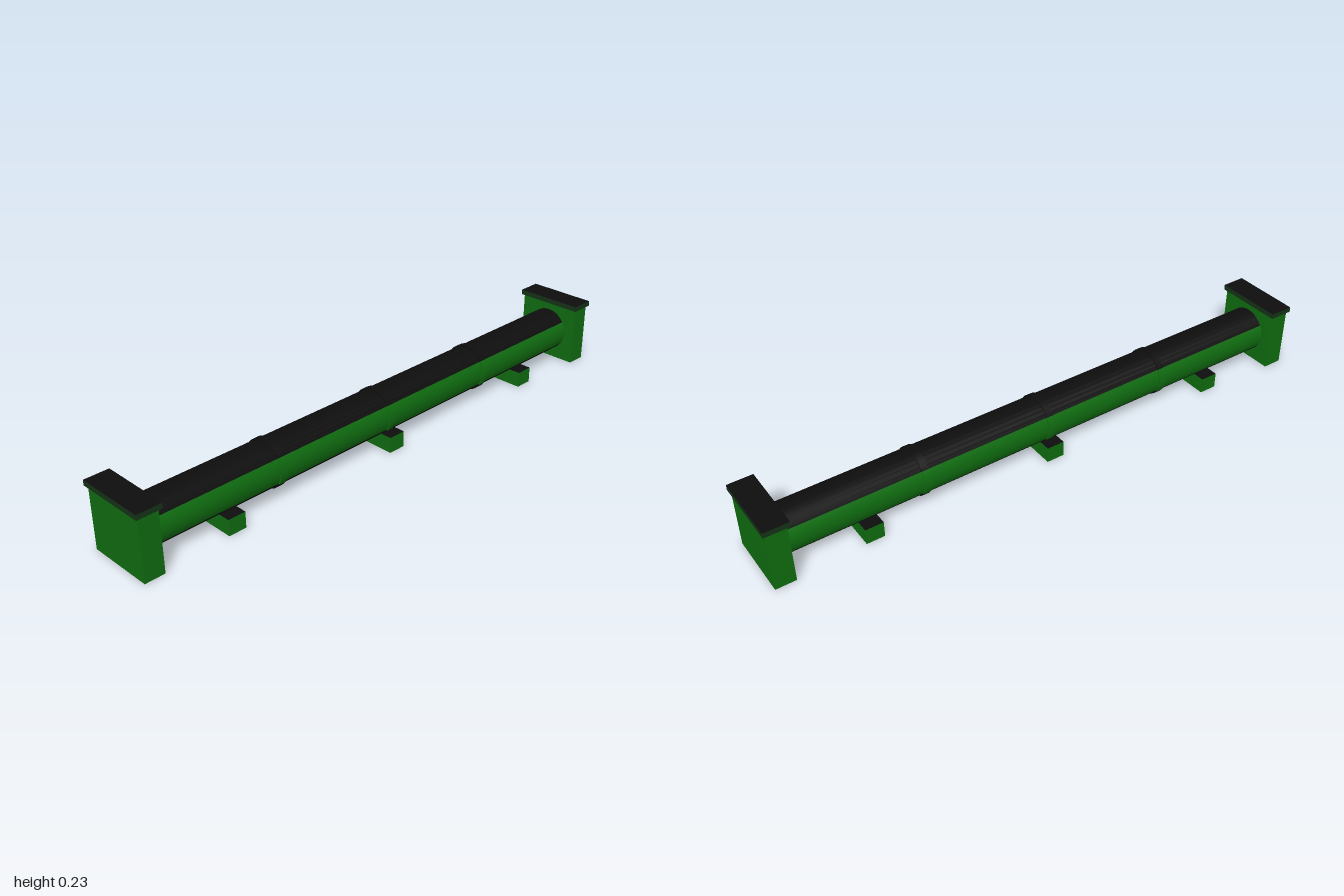
import * as THREE from 'three';

const green = new THREE.MeshStandardMaterial({ color: 0x0f6b10 });
green.name = 'green';
const black = new THREE.MeshStandardMaterial({ color: 0x0d0d0d });
black.name = 'black';
const darkGreen = new THREE.MeshStandardMaterial({ color: 0x143216 });
darkGreen.name = 'dark green';

// Box with coloured walls and black top and bottom
function block(name, w, y0, y1, depth, z, side) {
  const mesh = new THREE.Mesh(
    new THREE.BoxGeometry(w, y1 - y0, depth),
    [side, side, black, black, side, side]
  );
  mesh.position.set(0, (y0 + y1) / 2, z);
  mesh.name = name;
  return mesh;
}

// Round tube along z, with black strips above and below and green flanks
function stripedTube(name, radius, length, z) {
  const tube = new THREE.Group();
  tube.name = name;
  const step = Math.PI / 16;
  const strips = [
    ['Bottom', 0, 10, black],
    ['Left', Math.PI / 2, 6, green],
    ['Top', Math.PI, 10, black],
    ['Right', Math.PI * 1.5, 6, green],
  ];
  for (const [part, middle, count, material] of strips) {
    const geometry = new THREE.CylinderGeometry(
      radius, radius, length, count, 1, false, middle - count * step / 2, count * step
    );
    geometry.rotateX(Math.PI / 2);
    const mesh = new THREE.Mesh(geometry, material);
    mesh.name = name + part;
    tube.add(mesh);
  }
  tube.position.set(0, 0.106, z);
  return tube;
}

export function createModel() {
  const model = new THREE.Group();
  model.name = 'pipeline';

  // Pipe and its joint collars
  model.add(stripedTube('pipe', 0.077, 1.88, 0));
  for (const z of [-0.46, 0, 0.46]) model.add(stripedTube('collar', 0.081, 0.024, z));

  // Low supports under the pipe
  for (const z of [-0.66, 0, 0.66]) model.add(block('support', 0.2, 0, 0.055, 0.062, z, green));

  // End walls with overhanging caps
  for (const s of [-1, 1]) {
    model.add(block('endWall', 0.23, 0, 0.21, 0.068, s * 0.958, green));
    model.add(block('wallCap', 0.246, 0.21, 0.228, 0.084, s * 0.958, darkGreen));
  }
  return model;
}
